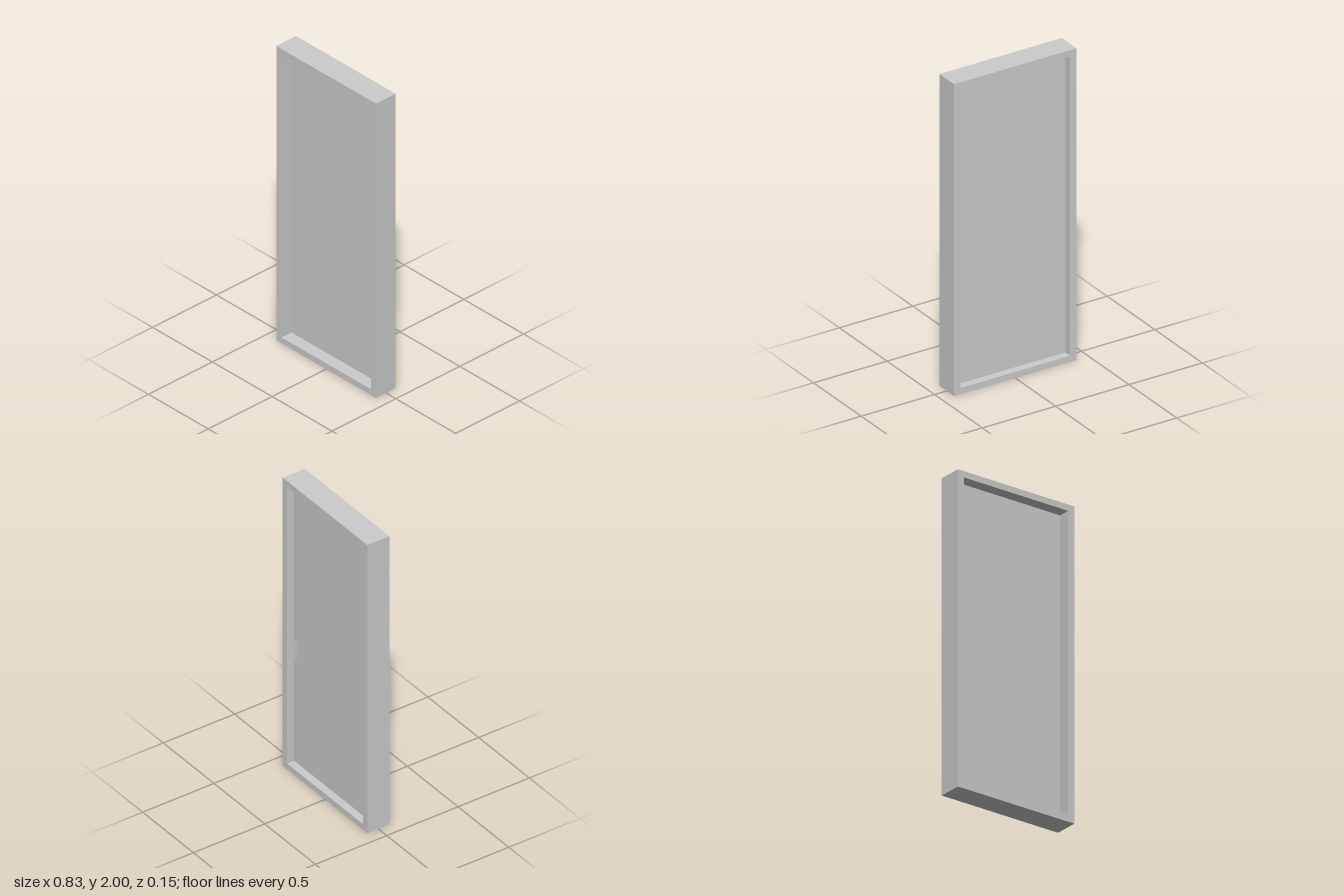
import * as THREE from 'three';

const W = 0.834, H = 2, D = 0.154;          // outer frame
const OPEN_W = 0.746, OPEN_H = 1.92;        // frame opening
const PANEL_FRONT = 0, PANEL_BACK = -0.028; // door leaf faces

const material = new THREE.MeshStandardMaterial({ color: 0xcccccc });

function rectangle(PathType, w, h) {
  const path = new PathType();
  path.moveTo(-w / 2, -h / 2);
  path.lineTo(w / 2, -h / 2);
  path.lineTo(w / 2, h / 2);
  path.lineTo(-w / 2, h / 2);
  path.closePath();
  return path;
}

function part(name, geometry, x, y, z) {
  const mesh = new THREE.Mesh(geometry, material);
  mesh.name = name;
  mesh.position.set(x, y, z);
  return mesh;
}

export function createModel() {
  const door = new THREE.Group();
  door.name = 'door';

  // Frame: a rectangular ring around the opening
  const outline = rectangle(THREE.Shape, W, H);
  outline.holes.push(rectangle(THREE.Path, OPEN_W, OPEN_H));
  const ring = new THREE.ExtrudeGeometry(outline, { depth: D, bevelEnabled: false });
  door.add(part('doorFrame', ring, 0, H / 2, -D / 2));

  // Leaf: recessed deeper from the front than from the back
  const leaf = new THREE.BoxGeometry(OPEN_W, OPEN_H, PANEL_FRONT - PANEL_BACK);
  door.add(part('doorLeaf', leaf, 0, H / 2, (PANEL_FRONT + PANEL_BACK) / 2));

  // Small upright pull on the back, close to the frame
  const pull = new THREE.BoxGeometry(0.01, 0.13, 0.01);
  door.add(part('handle', pull, 0.355, 0.815, PANEL_BACK - 0.005));

  return door;
}
